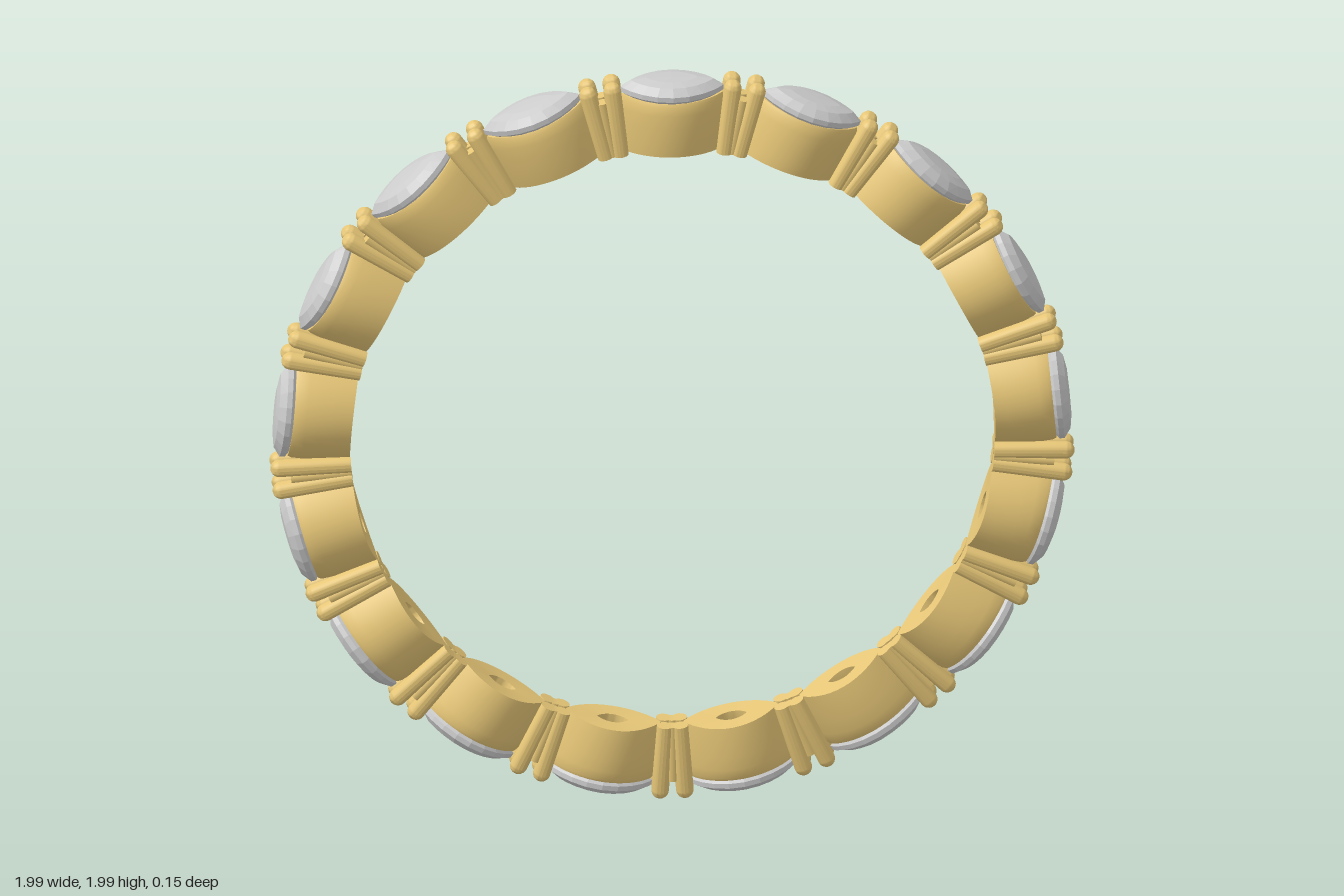
import * as THREE from 'three';
import { toCreasedNormals } from 'three/addons/utils/BufferGeometryUtils.js';

const COUNT = 17;
const INNER = 0.8;
const STEP = (Math.PI * 2) / COUNT;

// Pointed oval loft: each level is [height, length scale, width scale, bend],
// where bend 1 makes the level follow the finger hole's curve.
function marquiseLoft(levels, halfLength, halfWidth, sides, closed) {
  const pos = [], index = [];
  for (const [y, sl, sw, bend] of levels) {
    for (let j = 0; j < sides; j++) {
      const a = (j / sides) * Math.PI * 2;
      const s = Math.sin(a);
      const x = halfLength * sl * Math.cos(a);
      const z = halfWidth * sw * Math.sign(s) * Math.abs(s) ** 1.7;
      pos.push(x, y - bend * (INNER - Math.sqrt(INNER * INNER - x * x)), z);
    }
  }
  const n = levels.length;
  for (let i = 0; i < (closed ? n : n - 1); i++) {
    for (let j = 0; j < sides; j++) {
      const k = (j + 1) % sides, m = (i + 1) % n;
      const a = i * sides + j, b = i * sides + k, c = m * sides + j, d = m * sides + k;
      index.push(a, c, b, b, c, d);
    }
  }
  const g = new THREE.BufferGeometry();
  g.setAttribute('position', new THREE.Float32BufferAttribute(pos, 3));
  g.setIndex(index);
  g.computeVertexNormals();
  return g;
}

export function createModel() {
  const gold = new THREE.MeshStandardMaterial({ color: 0xe6c677 });
  const stone = new THREE.MeshStandardMaterial({ color: 0xcccccc, flatShading: true });

  // Setting: bulged wall, rim, hollow seat and small hole through to the finger side
  const settingGeo = toCreasedNormals(marquiseLoft([
    [0.8, 0.3, 0.3, 1],
    [0.8, 0.92, 0.94, 1],
    [0.83, 0.95, 0.99, 1],
    [0.88, 0.98, 1.02, 0.8],
    [0.915, 1, 1.01, 0.5],
    [0.938, 0.99, 0.97, 0.2],
    [0.946, 0.96, 0.91, 0],
    [0.946, 0.9, 0.84, 0],
    [0.85, 0.3, 0.3, 0],
  ], 0.13, 0.073, 40, true), 0.7);

  // Stone: pavilion, girdle, crown and table
  const stoneGeo = marquiseLoft([
    [0.865, 0.001, 0.001, 0],
    [0.925, 0.66, 0.66, 0],
    [0.953, 1, 1, 0],
    [0.966, 1, 1, 0],
    [0.983, 0.8, 0.74, 0],
    [0.989, 0.5, 0.42, 0],
    [0.99, 0.001, 0.001, 0],
  ], 0.128, 0.072, 20, false);

  // Prong: round bar with a domed tip
  const R = 0.022, H = 0.2;
  const profile = [new THREE.Vector2(0, 0), new THREE.Vector2(R * 0.9, 0)];
  for (let i = 0; i <= 6; i++) {
    const a = (i / 6) * Math.PI / 2;
    profile.push(new THREE.Vector2(R * Math.cos(a), H - R + R * Math.sin(a)));
  }
  const prongGeo = toCreasedNormals(new THREE.LatheGeometry(profile, 16), 0.7);
  const bridgeGeo = new THREE.CylinderGeometry(0.016, 0.016, 0.15, 12);

  const ring = new THREE.Group();
  ring.name = 'ring';
  ring.position.y = 1;

  for (let i = 0; i < COUNT; i++) {
    const link = new THREE.Group();
    link.name = 'stoneSetting';
    link.rotation.z = -i * STEP;
    const setting = new THREE.Mesh(settingGeo, gold);
    setting.name = 'setting';
    const gem = new THREE.Mesh(stoneGeo, stone);
    gem.name = 'stone';
    link.add(setting, gem);

    // Four prongs and a pair of thin bridge bars between neighbouring stones
    const joint = new THREE.Group();
    joint.name = 'prongCluster';
    joint.rotation.z = -(i + 0.5) * STEP;
    for (const sz of [-1, 1]) {
      for (const sx of [-1, 1]) {
        const prong = new THREE.Mesh(prongGeo, gold);
        prong.name = 'prong';
        prong.position.set(sx * 0.019, INNER - 0.001, sz * 0.023);
        prong.rotation.z = -sx * 0.065;
        joint.add(prong);
      }
      const bridge = new THREE.Mesh(bridgeGeo, gold);
      bridge.name = 'bridge';
      bridge.position.set(0, INNER + 0.075, sz * 0.02);
      joint.add(bridge);
    }
    ring.add(link, joint);
  }

  const model = new THREE.Group();
  model.name = 'eternityRing';
  model.add(ring);
  return model;
}
